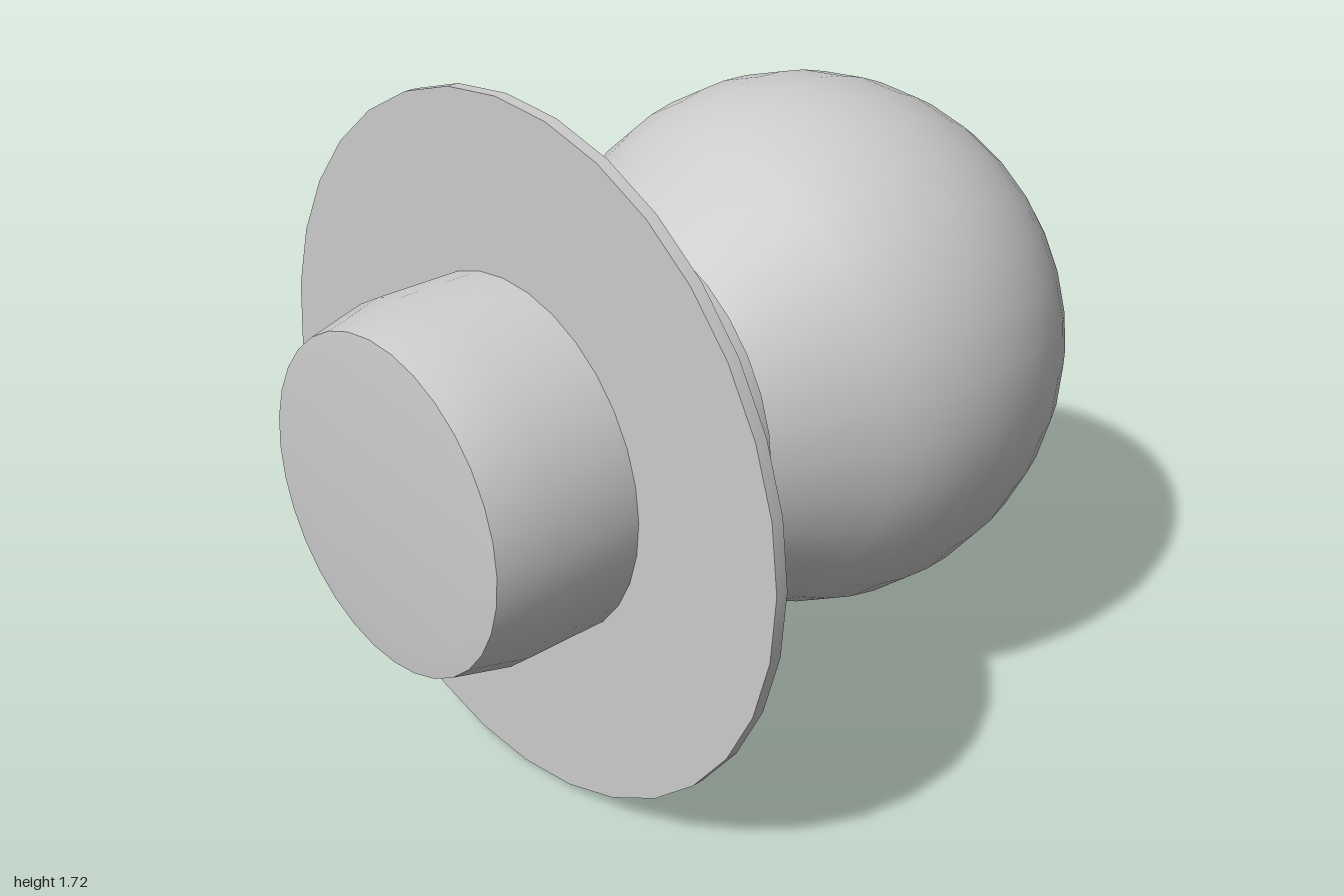
import * as THREE from 'three';
import { toCreasedNormals } from 'three/addons/utils/BufferGeometryUtils.js';

const SIDES = 32;
const AXIS_Y = 0.86;

export function createModel() {
  const group = new THREE.Group();
  group.name = 'bulbKnob';
  const material = new THREE.MeshStandardMaterial({ color: 0xcccccc });

  // Turned part about the z axis; profile is [radius, z] from back to front
  function turned(name, profile, crease = 0.4) {
    const points = profile.map(([r, z]) => new THREE.Vector2(r, z));
    const lathe = new THREE.LatheGeometry(points, SIDES).rotateX(Math.PI / 2);
    const mesh = new THREE.Mesh(toCreasedNormals(lathe, crease), material);
    mesh.name = name;
    mesh.position.y = AXIS_Y;
    group.add(mesh);
  }

  // Round bulb running tangentially into a conical neck
  const radius = 0.685, centre = -0.315, arcSteps = 18;
  const bulb = [];
  for (let i = 0; i <= arcSteps; i++) {
    const a = (i / arcSteps) * THREE.MathUtils.degToRad(117.5);
    bulb.push([radius * Math.sin(a), centre - radius * Math.cos(a)]);
  }
  bulb.push([0.465, 0.265]);
  turned('bulb', bulb, 0.6);

  // Collar with a bevelled front edge
  turned('collar', [[0, 0.26], [0.475, 0.26], [0.475, 0.295], [0.45, 0.323], [0, 0.323]]);

  // Plug with a tapered tip and slightly domed end
  turned('plug', [[0, 0.28], [0.44, 0.28], [0.44, 0.85], [0.405, 0.995], [0.355, 1], [0, 1]]);

  // Thin flange, its back face sloping slightly toward the plug
  turned('flange', [[0.43, 0.583], [0.86, 0.602], [0.86, 0.633], [0.43, 0.633]]);

  return group;
}
